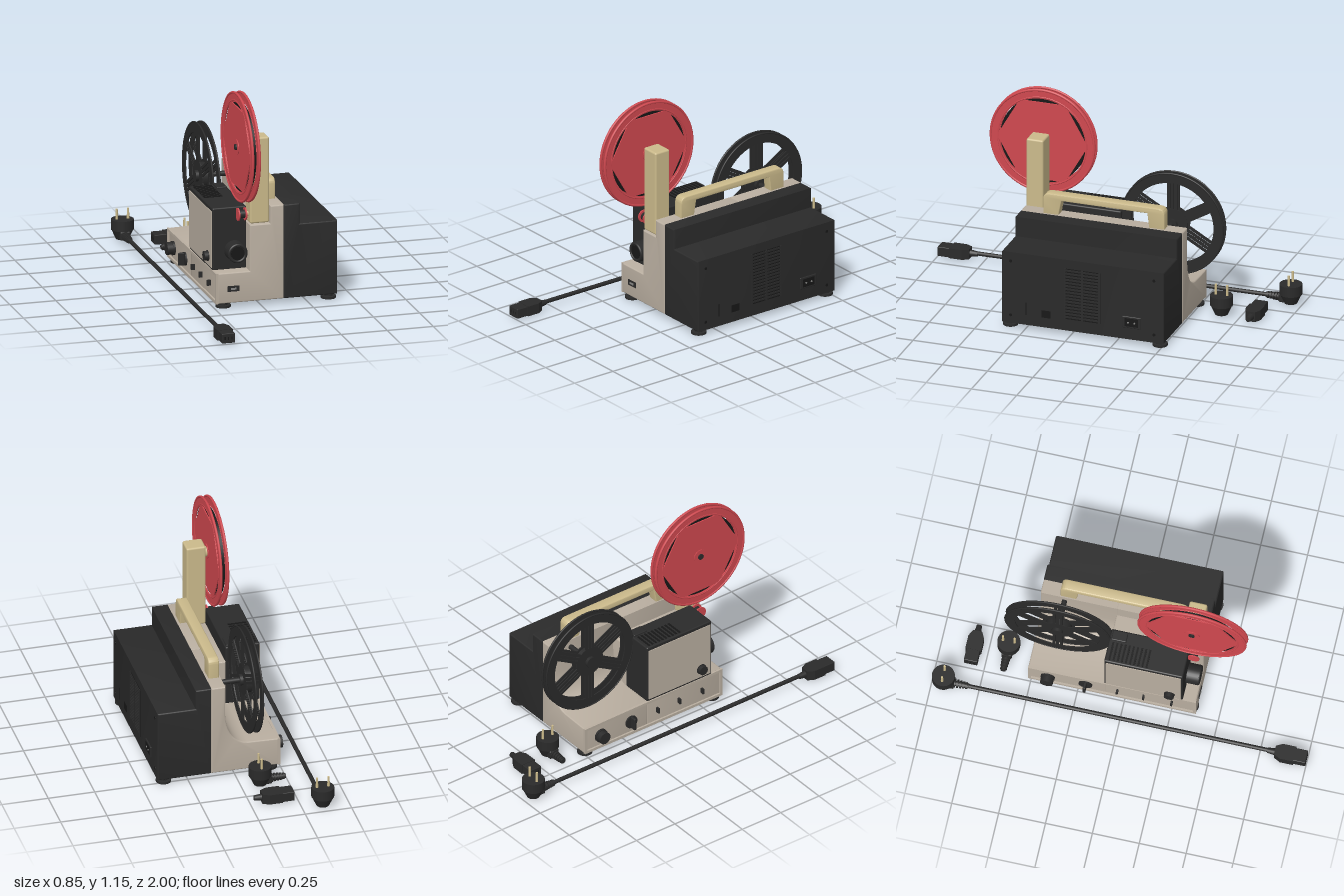
import * as THREE from 'three';
import { toCreasedNormals } from 'three/addons/utils/BufferGeometryUtils.js';
import { RoundedBoxGeometry } from 'three/addons/geometries/RoundedBoxGeometry.js';

const material = (name, color) => Object.assign(new THREE.MeshStandardMaterial({ color }), { name });
const black = material('black plastic', 0x2a2a2a);
const dark = material('dark recess', 0x171717);
const beige = material('warm grey body', 0xb9aea0);
const tan = material('tan plastic', 0xcbba8b);
const red = material('red plastic', 0xd0484f);
const steel = material('steel', 0x8a8a88);

export function createModel() {
  const root = new THREE.Group();
  root.name = 'filmProjector';

  const add = (name, geo, mat, parent = root) => {
    const m = new THREE.Mesh(geo, mat);
    m.name = name;
    parent.add(m);
    return m;
  };
  const group = (name, x = 0, y = 0, z = 0) => {
    const g = new THREE.Group();
    g.name = name;
    g.position.set(x, y, z);
    root.add(g);
    return g;
  };
  // box given by its limits, optionally rounded
  const box = (name, mat, [x0, x1], [y0, y1], [z0, z1], r = 0, parent = root) => {
    const s = [x1 - x0, y1 - y0, z1 - z0];
    const geo = r ? new RoundedBoxGeometry(...s, 3, r) : new THREE.BoxGeometry(...s);
    const m = add(name, geo, mat, parent);
    m.position.set((x0 + x1) / 2, (y0 + y1) / 2, (z0 + z1) / 2);
    return m;
  };
  // cylinder centred on a point along one axis
  const cyl = (name, mat, axis, r, len, x, y, z, parent = root, r2 = r, seg = 32) => {
    const geo = new THREE.CylinderGeometry(r2, r, len, seg);
    if (axis === 'x') geo.rotateZ(-Math.PI / 2);
    if (axis === 'z') geo.rotateX(Math.PI / 2);
    const m = add(name, geo, mat, parent);
    m.position.set(x, y, z);
    return m;
  };
  // front profile drawn in x, y and swept from z0 to z1 with a small bevel
  const sweep = (name, mat, shape, z0, z1, b = 0.007) => {
    const geo = new THREE.ExtrudeGeometry(shape, {
      depth: z1 - z0 - 2 * b, bevelSize: b, bevelThickness: b, bevelOffset: -b, bevelSegments: 3, curveSegments: 12 });
    geo.translate(0, 0, z0 + b);
    return add(name, toCreasedNormals(geo, 0.6), mat);
  };
  const poly = (pts) => new THREE.Shape(pts.map(([x, y]) => new THREE.Vector2(x, y)));

  // housing
  sweep('motorHousing', black, poly([[0.125, 0.025], [0.415, 0.025], [0.415, 0.425], [0.21, 0.425],
    [0.21, 0.535], [0.125, 0.535]]), -0.515, 0.38);
  sweep('frontBody', beige, poly([[-0.235, 0.025], [0.125, 0.025], [0.125, 0.535], [0.05, 0.535],
    [0.05, 0.44], [-0.06, 0.44], [-0.06, 0.19], [-0.235, 0.19]]), -0.11, 0.38);
  const rear = new THREE.Shape();
  rear.moveTo(-0.235, 0.025);
  rear.lineTo(0.125, 0.025);
  rear.lineTo(0.125, 0.535);
  rear.lineTo(0.05, 0.535);
  rear.lineTo(0.05, 0.36);
  rear.quadraticCurveTo(0.04, 0.2, -0.07, 0.185);
  rear.lineTo(-0.235, 0.18);
  sweep('rearBody', beige, rear, -0.515, -0.1);

  // raised rim round the control panel
  const rim = poly([[-0.515, 0.025], [0.38, 0.025], [0.38, 0.19], [-0.515, 0.18]]);
  rim.holes.push(new THREE.Path([[-0.5, 0.04], [-0.5, 0.167], [0.365, 0.175], [0.365, 0.04]]
    .map(([x, y]) => new THREE.Vector2(x, y))));
  const rimGeo = new THREE.ExtrudeGeometry(rim, { depth: 0.014, bevelEnabled: false });
  rimGeo.rotateY(-Math.PI / 2);
  add('controlPanelRim', rimGeo, beige).position.x = -0.231;

  // lamp house, side cover, top vents and lens
  box('lampHouse', black, [-0.243, -0.058], [0.185, 0.525], [-0.11, 0.31], 0.008);
  box('lampHouseCover', beige, [-0.247, -0.24], [0.2, 0.505], [-0.1, 0.3]);
  for (let i = 0; i < 10; i++) {
    box('lampVent', dark, [-0.23, -0.13], [0.523, 0.528], [-0.09 + i * 0.022, -0.08 + i * 0.022]);
  }
  box('filmGuide', black, [-0.12, -0.065], [0.52, 0.534], [-0.1, -0.02], 0.005);
  const lens = group('lens', -0.125, 0.29, 0.34);
  cyl('lensBarrel', black, 'z', 0.054, 0.07, 0, 0, 0, lens);
  add('lensRing', new THREE.TorusGeometry(0.045, 0.008, 8, 40), black, lens).position.z = 0.034;
  cyl('lensGlass', dark, 'z', 0.036, 0.004, 0, 0, 0.036, lens);

  // knobs and levers on the control side
  const knob = (name, y, z, r, len) => {
    const g = group(name, -0.24, y, z);
    cyl('knobSkirt', black, 'x', r * 1.1, 0.012, -0.004, 0, 0, g);
    cyl('knobCap', black, 'x', r, len, -len / 2, 0, 0, g, r, 12);
  };
  knob('modeKnob', 0.1, -0.41, 0.034, 0.04);
  knob('focusKnob', 0.25, 0.24, 0.026, 0.03);
  cyl('speedDial', black, 'x', 0.036, 0.012, -0.238, 0.1, -0.21);
  box('speedPointer', black, [-0.275, -0.235], [0.066, 0.134], [-0.217, -0.203], 0.004);
  for (const z of [-0.04, 0.1, 0.25]) box('smallLever', black, [-0.255, -0.23], [0.09, 0.12], [z - 0.005, z + 0.005]);

  // front switch
  box('switchPlate', black, [-0.182, -0.118], [0.088, 0.118], [0.375, 0.384]);
  box('switchSlot', steel, [-0.165, -0.135], [0.098, 0.108], [0.38, 0.387]);

  // vents, socket and screws on the motor side
  box('ventRecess', dark, [0.41, 0.4165], [0.09, 0.375], [-0.165, 0.035]);
  for (let i = 0; i < 16; i++) {
    const y = 0.098 + i * 0.0175;
    box('ventSlat', black, [0.41, 0.42], [y, y + 0.01], [-0.16, 0.03]);
  }
  for (const z of [-0.16, -0.065, 0.03]) box('ventBar', black, [0.41, 0.421], [0.09, 0.375], [z - 0.005, z + 0.005]);
  box('socketFrame', black, [0.41, 0.421], [0.09, 0.155], [-0.39, -0.285], 0.004);
  box('socketRecess', dark, [0.415, 0.4225], [0.1, 0.145], [-0.375, -0.3]);
  for (const z of [-0.355, -0.32]) cyl('socketPin', steel, 'x', 0.005, 0.006, 0.4225, 0.122, z);
  for (const z of [0.33, -0.46]) for (const y of [0.375, 0.07]) cyl('screw', dark, 'x', 0.008, 0.004, 0.4155, y, z);
  box('sideNotch', dark, [0.41, 0.417], [0.08, 0.15], [0.243, 0.248]);
  box('sideNotch', dark, [0.41, 0.417], [0.08, 0.12], [0.11, 0.16]);

  // feet
  for (const x of [-0.195, 0.375]) for (const z of [0.345, -0.48]) {
    cyl('footStem', black, 'y', 0.022, 0.022, x, 0.019, z);
    cyl('footPad', black, 'y', 0.04, 0.012, x, 0.006, z);
  }

  // reel post and carrying handle
  box('reelPost', tan, [-0.058, 0.046], [0.445, 0.91], [0.283, 0.377], 0.01);
  const grip = new THREE.Shape();
  grip.moveTo(-0.26, 0.53);
  grip.lineTo(-0.26, 0.61);
  grip.quadraticCurveTo(-0.26, 0.648, -0.222, 0.648);
  grip.lineTo(0.375, 0.648);
  grip.quadraticCurveTo(0.41, 0.648, 0.41, 0.61);
  grip.lineTo(0.41, 0.53);
  grip.lineTo(0.325, 0.53);
  grip.lineTo(0.315, 0.613);
  grip.lineTo(-0.16, 0.613);
  grip.lineTo(-0.175, 0.53);
  const gripGeo = new THREE.ExtrudeGeometry(grip, { depth: 0.045, bevelSize: 0.006, bevelThickness: 0.006,
    bevelOffset: -0.006, bevelSegments: 3 });
  gripGeo.rotateY(Math.PI / 2);
  add('carryHandle', toCreasedNormals(gripGeo, 0.6), tan).position.x = 0.062;

  // flat disc shape turned to face along x
  const disc = (name, shape, depth, x, mat, parent) => {
    const geo = new THREE.ExtrudeGeometry(shape, { depth, bevelEnabled: false, curveSegments: 64 });
    geo.rotateY(Math.PI / 2);
    add(name, toCreasedNormals(geo, 0.6), mat, parent).position.x = x - depth / 2;
  };
  const circle = (r, hole) => {
    const s = new THREE.Shape().absarc(0, 0, r, 0, Math.PI * 2);
    if (hole) s.holes.push(new THREE.Path().absarc(0, 0, hole, 0, Math.PI * 2, true));
    return s;
  };
  const ringBead = (name, r, t, x, mat, parent) => {
    const geo = new THREE.TorusGeometry(r, t, 8, 72);
    geo.rotateY(Math.PI / 2);
    add(name, geo, mat, parent).position.x = x;
  };

  // full reel with star-shaped flanges
  const supply = group('supplyReel', -0.095, 0.855, 0.33);
  disc('woundFilm', circle(0.234), 0.03, 0, dark, supply);
  for (const x of [-0.018, 0.018]) {
    const star = circle(0.288);
    for (let k = 0; k < 6; k++) {
      const a = k * Math.PI / 3;
      const hole = new THREE.Path();
      hole.moveTo(0.085 * Math.cos(a + Math.PI / 6), 0.085 * Math.sin(a + Math.PI / 6));
      hole.absarc(0, 0, 0.238, a + 0.1, a + Math.PI / 3 - 0.1, false);
      hole.closePath();
      star.holes.push(hole);
    }
    disc('starFlange', star, 0.006, x, red, supply);
    ringBead('outerBead', 0.285, 0.007, x, red, supply);
    ringBead('innerBead', 0.245, 0.005, x, red, supply);
  }
  cyl('supplyHub', red, 'x', 0.04, 0.05, 0, 0, 0, supply);
  cyl('supplySpindle', black, 'x', 0.016, 0.075, 0.005, 0, 0, supply);
  cyl('spindleBush', tan, 'x', 0.028, 0.018, 0.03, 0, 0, supply);

  // empty reel with ribbed spokes
  const takeUp = group('takeUpReel', -0.095, 0.49, -0.387);
  for (const x of [-0.018, 0.018]) {
    disc('rimFlange', circle(0.283, 0.228), 0.006, x, black, takeUp);
    disc('hubFlange', circle(0.085), 0.006, x, black, takeUp);
    ringBead('outerBead', 0.28, 0.005, x, black, takeUp);
    for (let k = 0; k < 6; k++) {
      const arm = new THREE.Group();
      arm.name = 'spoke';
      arm.rotation.x = k * Math.PI / 3;
      takeUp.add(arm);
      for (const z of [-0.02, 0, 0.02]) {
        box('spokeRib', black, [x - 0.003, x + 0.003], [0.075, 0.235], [z - 0.0075, z + 0.0075], 0, arm);
      }
    }
  }
  cyl('takeUpCore', black, 'x', 0.07, 0.034, 0, 0, 0, takeUp);
  cyl('takeUpSpindle', black, 'x', 0.03, 0.075, 0, 0, 0, takeUp);
  cyl('takeUpAxle', black, 'x', 0.014, 0.18, 0.06, 0, 0, takeUp);

  // film roller under the full reel
  const roller = group('filmRoller', -0.093, 0.49, 0.335);
  for (const x of [-0.019, 0.019]) cyl('rollerFlange', red, 'x', 0.034, 0.007, x, 0, 0, roller);
  cyl('rollerCore', black, 'x', 0.022, 0.035, 0, 0, 0, roller);
  cyl('rollerPin', tan, 'x', 0.014, 0.03, 0.03, 0, 0, roller);

  // ribbed strain relief running along +z from z0
  const relief = (g, z0, y) => {
    cyl('reliefCore', black, 'z', 0.014, 0.085, 0, y, z0 + 0.042, g, 0.014, 16);
    for (let i = 0; i < 5; i++) cyl('reliefRib', black, 'z', 0.024 - i * 0.0015, 0.009, 0, y, z0 + 0.008 + i * 0.016, g, undefined, 16);
  };
  // two-pin plug with its cable leaving along local +z
  const plug = (x, z, turn) => {
    const g = group('mainsPlug', x, 0, z);
    g.rotation.y = turn;
    cyl('plugDisc', black, 'y', 0.06, 0.055, 0, 0.087, 0, g);
    cyl('plugBack', black, 'y', 0.034, 0.052, 0, 0.034, 0, g, 0.058);
    box('plugNeck', black, [-0.028, 0.028], [0.012, 0.06], [0, 0.06], 0.008, g);
    relief(g, 0.052, 0.035);
    for (const px of [-0.031, 0.031]) cyl('plugPin', tan, 'y', 0.007, 0.06, px, 0.142, 0, g, 0.006, 16);
  };
  // appliance connector: nose at local z = 0, cable leaving along +z
  const connector = (x, z, turn) => {
    const g = group('applianceConnector', x, 0, z);
    g.rotation.y = turn;
    box('connectorNose', black, [-0.036, 0.036], [0.005, 0.058], [0, 0.07], 0.004, g);
    const grip = poly([[-0.042, 0.065], [0.042, 0.065], [0.042, 0.135], [0.024, 0.17], [-0.024, 0.17], [-0.042, 0.135]]);
    const geo = new THREE.ExtrudeGeometry(grip, { depth: 0.055, bevelEnabled: false });
    geo.rotateX(Math.PI / 2);
    add('connectorGrip', geo, black, g).position.y = 0.06;
    cyl('connectorNeck', black, 'z', 0.019, 0.045, 0, 0.032, 0.187, g, 0.014, 16);
    for (const px of [-0.018, 0, 0.018]) {
      box('contactSlot', dark, [px - 0.003, px + 0.003], [0.024, 0.04], [-0.001, 0.004], 0, g);
    }
  };

  // stretched mains lead and a loose plug and connector
  plug(-0.36, -0.94, 0);
  connector(-0.36, 0.998, Math.PI);
  cyl('mainsLead', black, 'z', 0.011, 1.66, -0.36, 0.035, -0.02, root, 0.011, 16);
  plug(-0.1, -0.65, -Math.PI / 2);
  connector(-0.23, -0.825, Math.PI / 2);

  return root;
}
